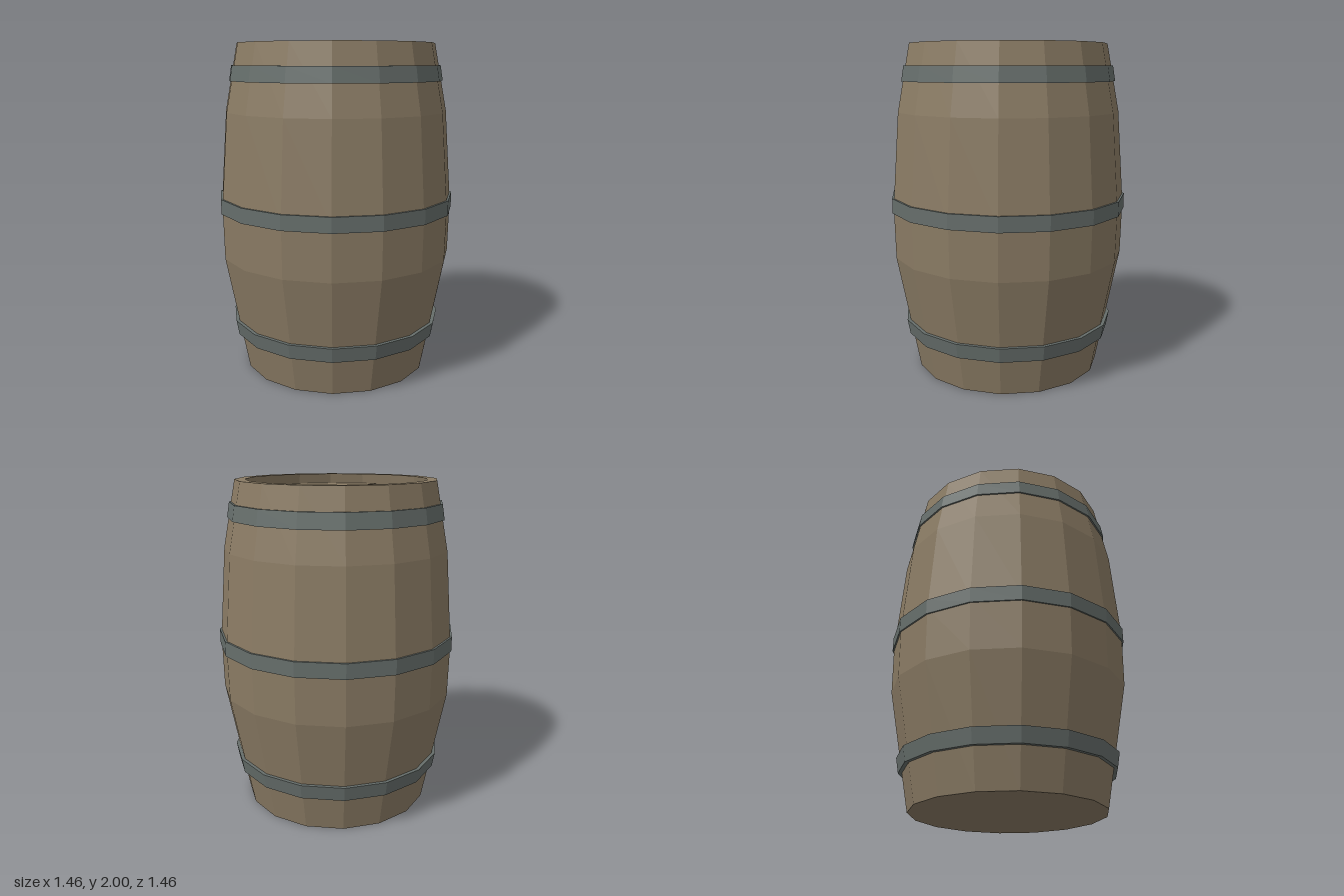
import * as THREE from 'three';

const SIDES = 16;
const wood = new THREE.MeshStandardMaterial({ color: 0x8a7b64 });
wood.name = 'weathered wood';
const iron = new THREE.MeshStandardMaterial({ color: 0x666e6b });
iron.name = 'grey iron';

// Outer wall: [height, radius]
const wall = [[0, 0.577], [0.72, 0.714], [1.04, 0.72], [1.6, 0.677], [2, 0.6]];
const THICK = 0.06;
const FLOOR = 0.08;

function mesh(name, geometry, material) {
  const flat = geometry.index ? geometry.toNonIndexed() : geometry;
  flat.computeVertexNormals(); // faceted shading
  const m = new THREE.Mesh(flat, material);
  m.name = name;
  return m;
}

function lathe(name, points, material) {
  const profile = points.map(([r, y]) => new THREE.Vector2(r, y));
  return mesh(name, new THREE.LatheGeometry(profile, SIDES), material);
}

// Iron hoop: closed four-sided profile from y0 to y1
function hoop(name, y0, y1, r0, r1) {
  const t = 0.035;
  return lathe(name, [[r0 - t, y0], [r0, y0], [r1, y1], [r1 - t, y1], [r0 - t, y0]], iron);
}

// Lid plank: the part of the lid polygon beyond a straight cut at |x| = cut
function lidPlank(name, cut, side) {
  const R = 0.545;
  const rim = [];
  for (let k = 0; k <= SIDES / 4; k++) {
    const a = (k / SIDES) * Math.PI * 2;
    rim.push([R * Math.cos(a), R * Math.sin(a)]);
  }
  const upper = [];
  for (let k = 0; k < rim.length; k++) {
    const [x, z] = rim[k];
    if (x > cut) {
      upper.push([x, z]);
      continue;
    }
    const [px, pz] = rim[k - 1];
    upper.push([cut, pz + ((z - pz) * (px - cut)) / (px - x)]);
    break;
  }
  const lower = upper.slice(1).reverse().map(([x, z]) => [x, -z]);
  const shape = new THREE.Shape([...lower, ...upper].map(([x, z]) => new THREE.Vector2(side * x, z)));
  const g = new THREE.ExtrudeGeometry(shape, { depth: 0.03, bevelEnabled: false });
  g.rotateX(-Math.PI / 2).translate(0, 1.91, 0);
  return mesh(name, g, wood);
}

export function createModel() {
  const barrel = new THREE.Group();
  barrel.name = 'barrel';

  // Hollow body: underside, outer wall, rim, inner wall, floor
  const outer = wall.map(([y, r]) => [r, y]);
  const inner = wall.map(([y, r]) => [r - THICK, Math.max(y, FLOOR)]).reverse();
  barrel.add(lathe('body', [[0, 0], ...outer, ...inner, [0, FLOOR]], wood));

  // Three hoops
  barrel.add(hoop('lowerHoop', 0.225, 0.315, 0.642, 0.658));
  barrel.add(hoop('middleHoop', 1.0, 1.09, 0.728, 0.728));
  barrel.add(hoop('upperHoop', 1.78, 1.87, 0.652, 0.637));

  // Broken lid: two planks with a gap between them
  barrel.add(lidPlank('leftLidPlank', 0.11, 1));
  barrel.add(lidPlank('rightLidPlank', 0.33, -1));

  return barrel;
}
